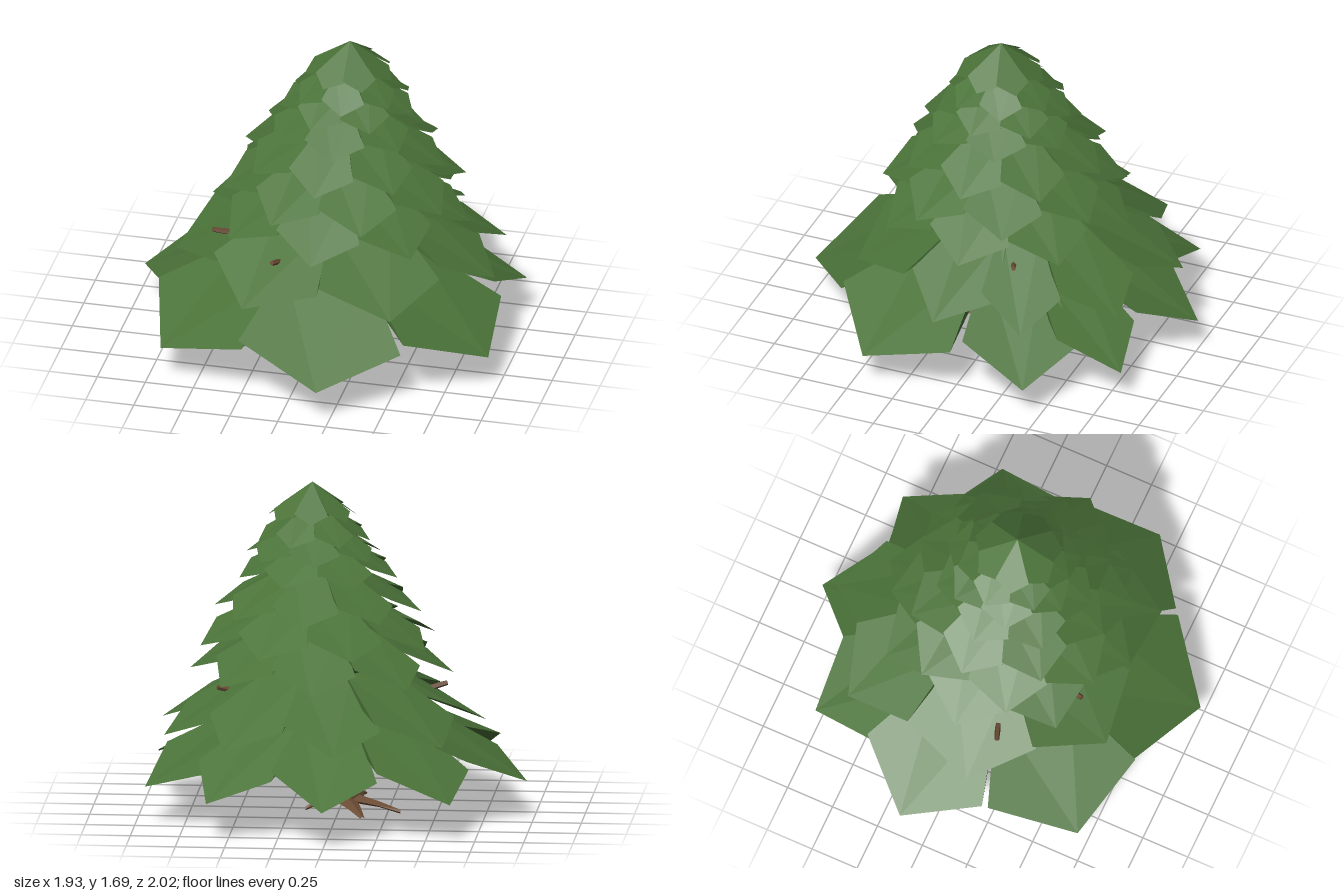
import * as THREE from 'three';

const leafMat = new THREE.MeshStandardMaterial({ color: 0x4b7339, flatShading: true, side: THREE.DoubleSide });
const barkMat = new THREE.MeshStandardMaterial({ color: 0x6a4b33, flatShading: true });
const RAD = Math.PI / 180;

// Tapered faceted limb from point a to point b
function limb(name, a, b, ra, rb, sides) {
  const from = new THREE.Vector3(...a), to = new THREE.Vector3(...b);
  const dir = to.clone().sub(from);
  const mesh = new THREE.Mesh(new THREE.CylinderGeometry(rb, ra, dir.length(), sides), barkMat);
  mesh.position.copy(from).add(to).multiplyScalar(0.5);
  mesh.quaternion.setFromUnitVectors(new THREE.Vector3(0, 1, 0), dir.normalize());
  mesh.name = name;
  return mesh;
}

// Flat root blade: wide and arched at the trunk, pointed at its tip
function rootBlade(x, z) {
  const len = Math.hypot(x, z), ux = x / len, uz = z / len;
  const at = (out, side, y) => [ux * out - uz * side, y, uz * out + ux * side];
  const p = [];
  for (const [out, w, top, bottom] of [[0.03, 0.07, 0.1, 0.04], [len * 0.65, 0.035, 0.055, 0.025], [len, 0.012, 0.02, 0]]) {
    p.push(at(out, 0, top), at(out, w, (top + bottom) / 2), at(out, 0, bottom), at(out, -w, (top + bottom) / 2));
  }
  const index = [8, 10, 9, 8, 11, 10];
  for (let s = 0; s < 2; s++) {
    for (let k = 0; k < 4; k++) {
      const a = s * 4 + k, b = s * 4 + ((k + 1) % 4);
      index.push(a, b, a + 4, b, b + 4, a + 4);
    }
  }
  const g = new THREE.BufferGeometry();
  g.setAttribute('position', new THREE.Float32BufferAttribute(index.flatMap(i => p[i]), 3));
  g.computeVertexNormals();
  const mesh = new THREE.Mesh(g, barkMat);
  mesh.name = 'root';
  return mesh;
}

// Sloping five-cornered frond: sharp outer edge, thick end facing the trunk
function frond(angle, r, halfWidth, slope, inner, roll, thick) {
  const c = Math.cos(angle), s = Math.sin(angle);
  const at = (out, side, y) => [c * out - s * side, y, s * out + c * side];
  const rs = r * 0.77, yIn = (r - inner) * slope, yS = (r - rs) * slope;
  const wIn = inner ? halfWidth * 0.5 : 0;
  const p = [
    at(inner, wIn, yIn), at(rs, halfWidth, yS + roll), at(r, 0, 0),
    at(rs, -halfWidth, yS - roll), at(inner, -wIn, yIn),
    at(inner, wIn, yIn - thick), at(inner, -wIn, yIn - thick),
  ];
  const faces = [0, 1, 2, 0, 2, 4, 4, 2, 3, 5, 2, 1, 5, 6, 2, 6, 3, 2, 0, 5, 1, 4, 3, 6, 0, 4, 6, 0, 6, 5];
  const g = new THREE.BufferGeometry();
  g.setAttribute('position', new THREE.Float32BufferAttribute(faces.flatMap(i => p[i]), 3));
  g.computeVertexNormals();
  const mesh = new THREE.Mesh(g, leafMat);
  mesh.name = 'frond';
  return mesh;
}

// Evenly spaced frond directions in degrees
const ring = (count, start) => Array.from({ length: count }, (_, i) => start + (i * 360) / count);

export function createModel() {
  const tree = new THREE.Group();
  tree.name = 'pineTree';

  // Leaning trunk in two sections
  tree.add(limb('trunkBase', [-0.01, 0.05, 0.02], [0.01, 0.4, 0.01], 0.12, 0.095, 7));
  tree.add(limb('trunkTop', [0.01, 0.4, 0.01], [0.14, 1.6, 0], 0.095, 0.015, 7));

  // Spreading roots
  for (const [x, z] of [[0.2, 0.28], [-0.32, -0.1], [-0.14, -0.28], [-0.1, 0.35], [0.17, -0.06]]) {
    tree.add(rootBlade(x, z));
  }

  // Branches under and between the fronds
  const branches = [
    [0.48, -0.53, 0.62, 0.2], [0.5, 0.6, 0.67, -0.25], [0.47, -0.15, 0.63, 0.5],
    [0.5, -0.3, 0.6, -0.4], [0.74, -0.38, 0.9, 0.05], [0.68, 0.25, 0.78, 0.4],
  ];
  for (const [y, tx, ty, tz] of branches) {
    tree.add(limb('branch', [0.01 + (y - 0.4) * 0.11, y, 0], [tx, ty, tz], 0.035, 0.013, 5));
  }

  // Tiers: centre x, centre z, tip height, radius, slope, frond directions
  const tiers = [
    [0.04, 0, 0.19, 1.015, 0.57, [25, 81, 135, 188, 229, 268, 304, 334]],
    [0.08, -0.08, 0.45, 0.84, 0.6, [10, 60, 114, 166, 219, 261, 302, 338]],
    [0.09, -0.01, 0.72, 0.67, 0.6, ring(8, 0)],
    [0.11, 0, 0.88, 0.62, 0.58, ring(8, 24)],
    [0.11, -0.01, 1.04, 0.53, 0.6, ring(8, 4)],
    [0.11, 0.02, 1.21, 0.41, 0.6, ring(7, 34)],
    [0.13, -0.01, 1.32, 0.35, 0.65, ring(7, 8)],
    [0.13, 0, 1.4, 0.29, 0.72, ring(7, 33)],
    [0.14, 0.01, 1.51, 0.23, 0.78, ring(7, 10)],
  ];
  tiers.forEach(([x, z, y, r, slope, dirs], t) => {
    const tier = new THREE.Group();
    tier.name = 'frondTier' + (t + 1);
    tier.position.set(x, y, z);
    const n = dirs.length, inner = t < tiers.length - 1 ? r * 0.36 : 0;
    dirs.forEach((deg, i) => {
      const next = (dirs[(i + 1) % n] - deg + 720) % 360;
      const prev = (deg - dirs[(i + n - 1) % n] + 720) % 360;
      const halfWidth = r * 0.78 * Math.tan(((next + prev) / 4) * RAD);
      tier.add(frond(deg * RAD, r, halfWidth, slope, inner, r * 0.025, r * 0.1));
    });
    tree.add(tier);
  });

  return tree;
}
